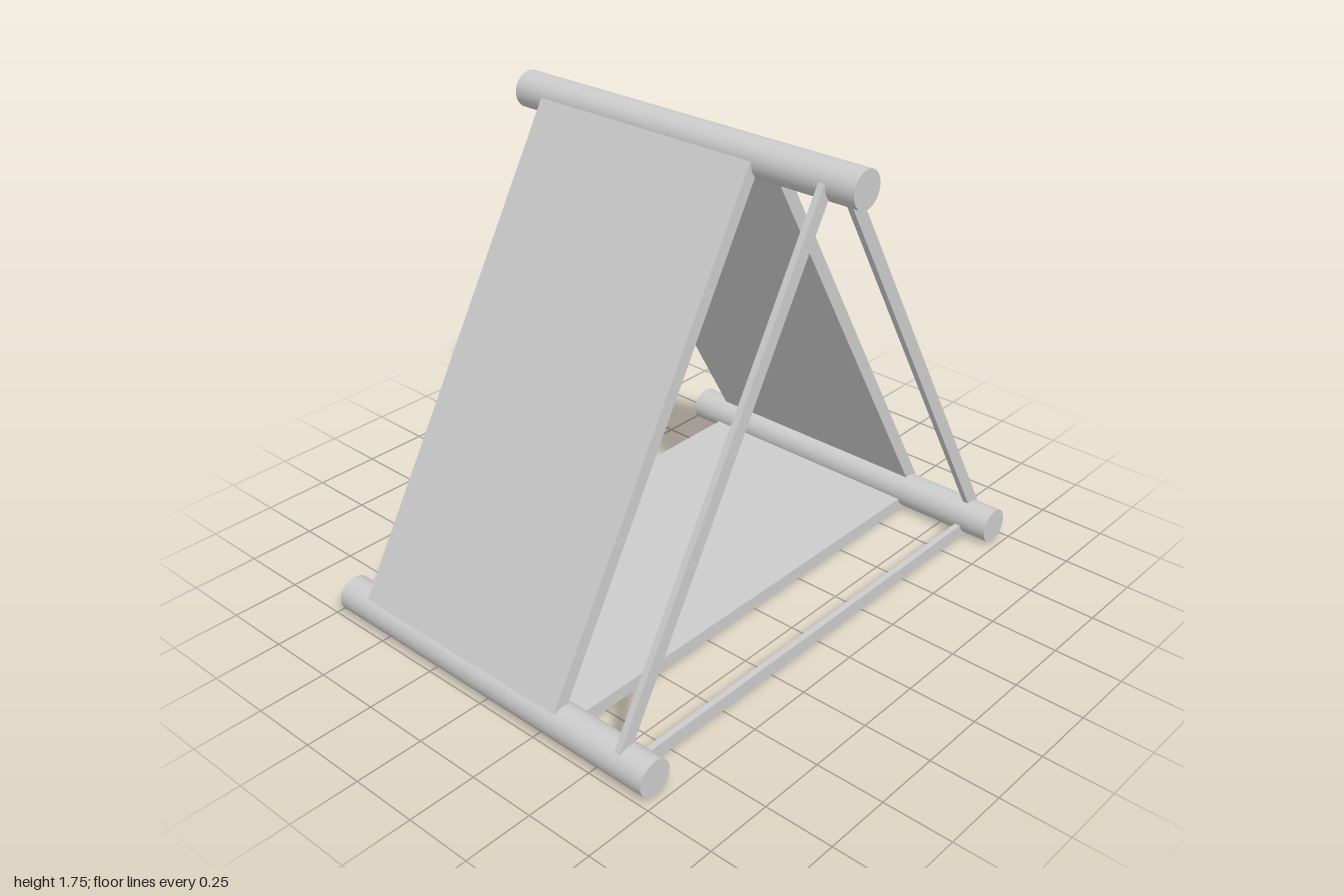
import * as THREE from 'three';

const R = 0.065;                 // rod radius
const SIDE = 2 - 2 * R;          // distance between rod centres
const HEIGHT = SIDE * Math.sqrt(3) / 2;
const DEPTH = 1.44;
const THICK = 0.05;              // panel thickness
const SPAN = SIDE - 0.05;        // panels stop just short of the rod centre lines

export function createModel() {
  const group = new THREE.Group();
  const material = new THREE.MeshStandardMaterial({ color: 0xcccccc });
  const add = (name, geometry, parent = group) => {
    const mesh = new THREE.Mesh(geometry, material);
    mesh.name = name;
    parent.add(mesh);
    return mesh;
  };

  // Three long rods at the corners of an equilateral triangle
  const corners = [
    ['rightBaseRod', -SIDE / 2, R],
    ['leftBaseRod', SIDE / 2, R],
    ['ridgeRod', 0, R + HEIGHT],
  ];
  for (const [name, x, y] of corners) {
    const rod = add(name, new THREE.CylinderGeometry(R, R, DEPTH, 48).rotateX(Math.PI / 2));
    rod.position.set(x, y, 0);
  }

  // Each face has a wide panel and a thin front strip, flush with the rods' outer tangent
  const offset = -(HEIGHT / 3 + R - THICK / 2);
  ['floor', 'leftSlope', 'rightSlope'].forEach((name, i) => {
    const face = new THREE.Group();
    face.name = name;
    face.position.y = R + HEIGHT / 3;
    face.rotation.z = i * Math.PI * 2 / 3;
    group.add(face);
    add(name + 'Panel', new THREE.BoxGeometry(SPAN, THICK, 0.92), face).position.set(0, offset, -0.13);
    add(name + 'Strip', new THREE.BoxGeometry(SPAN, THICK, 0.023), face).position.set(0, offset, 0.602);
  });

  return group;
}
